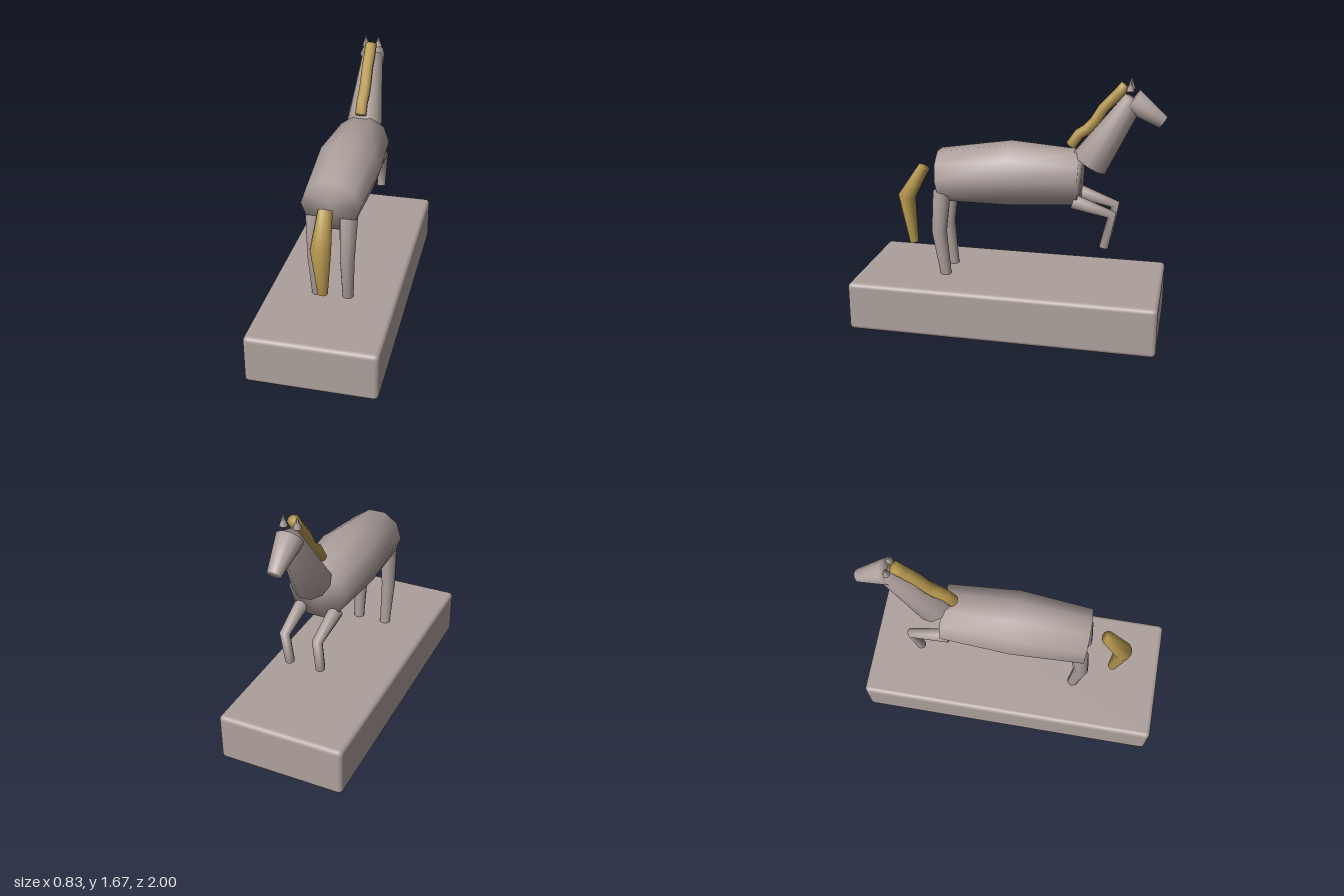
import * as THREE from 'three';
import { RoundedBoxGeometry } from 'three/addons/geometries/RoundedBoxGeometry.js';

// Capped limb: each station is [x, y, z, radiusX, radiusAcross]; rings stand square to the path
function limb(stations, sides = 10, turn = 0) {
  const pos = [], idx = [];
  const centres = stations.map(s => new THREE.Vector3(0, s[1], s[2]));
  const last = stations.length - 1;
  stations.forEach(([x, y, z, rx, ry], i) => {
    const t = new THREE.Vector3()
      .subVectors(centres[Math.min(i + 1, last)], centres[i]).normalize()
      .add(new THREE.Vector3().subVectors(centres[i], centres[Math.max(i - 1, 0)]).normalize())
      .normalize();
    for (let j = 0; j < sides; j++) {
      const a = (j / sides) * Math.PI * 2 + turn;
      const across = Math.sin(a) * ry;
      pos.push(x + Math.cos(a) * rx, y + t.z * across, z - t.y * across);
    }
  });
  const start = pos.length / 3, end = start + 1;
  pos.push(...stations[0].slice(0, 3), ...stations[last].slice(0, 3));
  for (let j = 0; j < sides; j++) {
    const k = (j + 1) % sides;
    for (let i = 0; i < last; i++) {
      const a = i * sides + j, b = i * sides + k;
      idx.push(a, b, a + sides, b, b + sides, a + sides);
    }
    idx.push(start, k, j, end, last * sides + j, last * sides + k);
  }
  const g = new THREE.BufferGeometry();
  g.setAttribute('position', new THREE.Float32BufferAttribute(pos, 3));
  g.setIndex(idx);
  g.computeVertexNormals();
  return g;
}

export function createModel() {
  const model = new THREE.Group();
  model.name = 'horseStatue';
  const stone = new THREE.MeshStandardMaterial({ color: 0xada09c });
  stone.name = 'stone';
  const gold = new THREE.MeshStandardMaterial({ color: 0xb8994f });
  gold.name = 'gold';
  const add = (name, geometry, material) => {
    const mesh = new THREE.Mesh(geometry, material);
    mesh.name = name;
    model.add(mesh);
    return mesh;
  };

  // Plinth
  add('plinth', new RoundedBoxGeometry(0.83, 0.325, 2, 4, 0.03), stone).position.y = 0.1625;

  // Body, neck and head
  add('body', limb([
    [0, 0.983, 0.462, 0.185, 0.174],
    [0, 1.02, 0, 0.215, 0.21],
    [0, 1.017, -0.455, 0.185, 0.178],
  ]), stone);
  add('neck', limb([
    [0, 1.12, -0.51, 0.122, 0.125],
    [0, 1.53, -0.77, 0.07, 0.068],
  ]), stone);
  add('head', limb([
    [0, 1.528, -0.762, 0.085, 0.08],
    [0, 1.398, -0.955, 0.043, 0.042],
  ]), stone);

  // Legs and ears, mirrored
  for (const [side, s] of [['left', 1], ['right', -1]]) {
    add(side + 'RearLeg', limb([
      [s * 0.108, 0.898, 0.434, 0.057, 0.058],
      [s * 0.104, 0.62, 0.459, 0.047, 0.05],
      [s * 0.1, 0.32, 0.42, 0.036, 0.036],
    ]), stone);
    add(side + 'FrontLeg', limb([
      [s * 0.113, 0.89, -0.425, 0.047, 0.047],
      [s * 0.108, 0.815, -0.67, 0.034, 0.034],
      [s * 0.104, 0.595, -0.627, 0.03, 0.03],
    ]), stone);
    add(side + 'Ear', new THREE.ConeGeometry(0.025, 0.075, 6), stone)
      .position.set(s * 0.043, 1.628, -0.75);
  }

  // Wavy mane down the back of the neck
  const mane = [
    [1.225, -0.388], [1.3, -0.438], [1.335, -0.49], [1.385, -0.535],
    [1.47, -0.585], [1.53, -0.64], [1.57, -0.678], [1.617, -0.715],
  ];
  add('mane', limb(mane.map(([y, z]) => [0, y, z, 0.039, 0.036]), 8, Math.PI / 8), gold);

  // Tail
  add('tail', limb([
    [0, 1.022, 0.585, 0.045, 0.04],
    [0, 0.815, 0.71, 0.065, 0.058],
    [0, 0.492, 0.67, 0.032, 0.03],
  ]), gold);

  return model;
}
